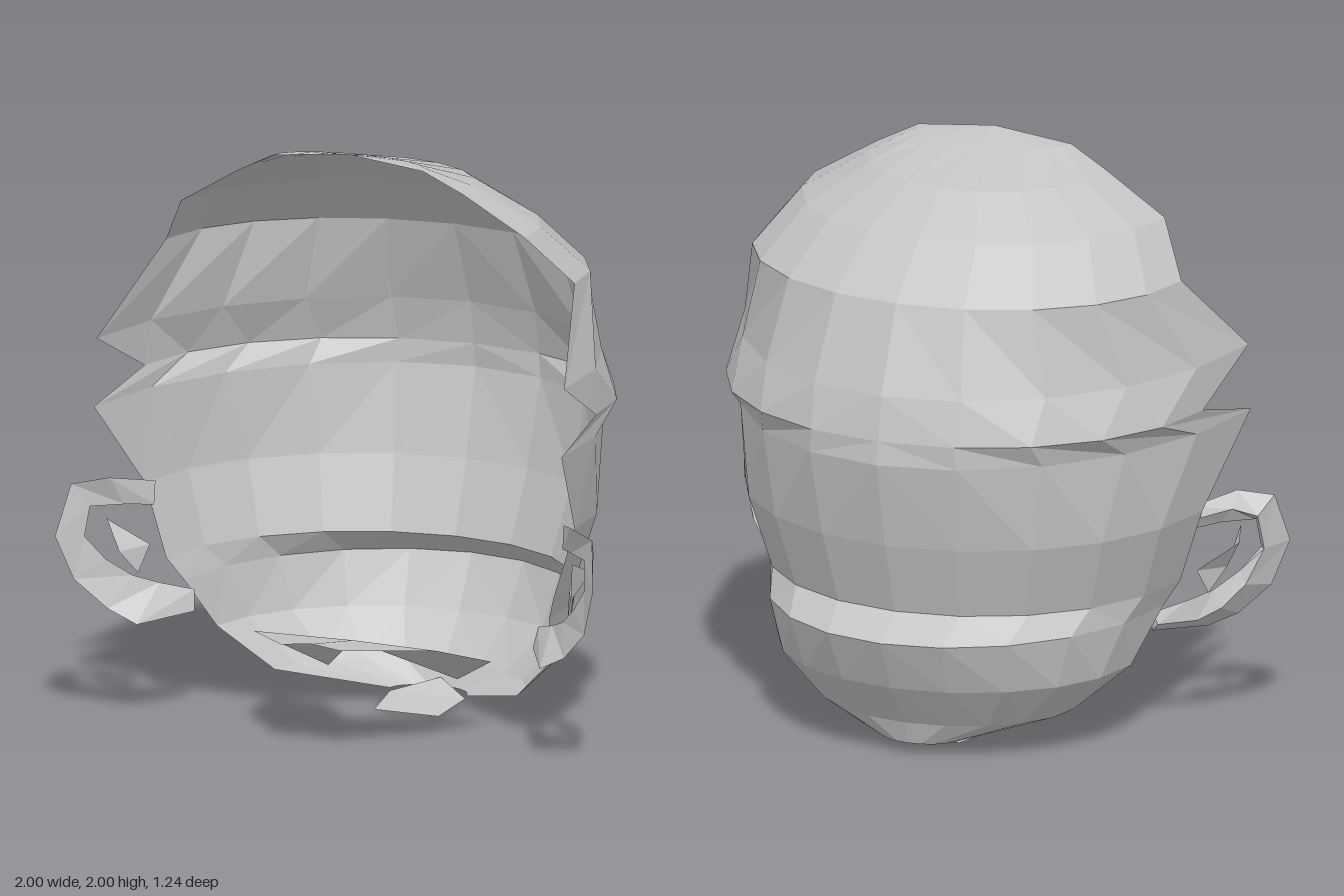
import * as THREE from 'three';

const grey = new THREE.MeshStandardMaterial({ color: 0xc4c4c4, flatShading: true, side: THREE.DoubleSide });
grey.name = 'grey';

// Faceted surface from corner points and triangles
function facets(name, points, triangles) {
  const g = new THREE.BufferGeometry();
  g.setAttribute('position', new THREE.Float32BufferAttribute(points.flat(), 3));
  g.setIndex(triangles.flat());
  const flat = g.toNonIndexed();
  flat.computeVertexNormals();
  const mesh = new THREE.Mesh(flat, grey);
  mesh.name = name;
  return mesh;
}

// Skin over a list of equal-length cross-sections
function loft(name, rows) {
  const n = rows[0].length;
  const tris = [];
  for (let r = 0; r < rows.length - 1; r++) {
    for (let c = 0; c < n - 1; c++) {
      const a = r * n + c, b = a + 1, d = a + n, e = d + 1;
      // diagonals mirror about the middle
      if (c < (n - 1) / 2) tris.push([a, d, b], [b, d, e]);
      else tris.push([a, d, e], [a, e, b]);
    }
  }
  return facets(name, rows.flat(), tris);
}

const mirror = (points, side) => points.map(([x, y, z]) => [x * side, y, z]);

// Half-ellipse around the back of the head
function backArc([y, halfWidth, edgeZ, backZ]) {
  const row = [];
  const steps = 5;
  for (let i = -steps; i <= steps; i++) {
    const t = (i / steps) * Math.PI / 2;
    row.push([halfWidth * Math.sin(t), y, edgeZ - (edgeZ - backZ) * Math.cos(t)]);
  }
  return row;
}

export function createModel() {
  const model = new THREE.Group();
  model.name = 'headShell';

  // Open shell: height, half width, front edge z, back z (zigzag front edge)
  const upper = [
    [1.97, 0.28, 0.34, 0.2],
    [1.9, 0.42, 0.32, -0.1],
    [1.77, 0.64, 0.3, -0.28],
    [1.6, 0.76, 0.17, -0.46],
    [1.31, 0.87, 0.47, -0.58],
    [1.16, 0.84, 0.17, -0.61],
    [1.08, 0.87, 0.49, -0.62],
    [0.78, 0.8, 0.25, -0.55],
    [0.53, 0.72, 0.25, -0.47],
  ].map(backArc);
  // crown ridge closing the top
  upper.unshift(upper[0].map(() => [0, 2, 0.34]));
  model.add(loft('hairShell', upper));

  // Nape: steps out behind under the hair, then curves in to the neck
  const lower = [
    [0.53, 0.72, 0.25, -0.47],
    [0.45, 0.68, 0.2, -0.59],
    [0.27, 0.62, 0.07, -0.5],
    [0.12, 0.45, -0.02, -0.39],
    [0.04, 0.14, -0.26, -0.36],
  ].map(backArc);
  model.add(loft('nape', lower));

  // Small flap under the neck
  model.add(facets('neckFlap',
    [[-0.14, 0.03, -0.26], [0.14, 0.03, -0.26], [0.12, 0, -0.1], [-0.12, 0, -0.1], [0, 0.07, -0.36]],
    [[0, 3, 2], [0, 2, 1], [4, 0, 1]]));

  // Curved plate projecting at the chin
  const plateHalf = [[0, 0.38, 0.61], [0.11, 0.37, 0.62], [0.34, 0.34, 0.36],
    [0.4, 0.25, 0.07], [0.24, 0.16, 0], [0, 0.33, 0.3]];
  const plateTris = [[0, 1, 5], [1, 2, 5], [2, 4, 5], [2, 3, 4]];
  // C-shaped ear rim: outer edge, inner edge and back fold
  const outer = [[0.76, 0.79, 0.25], [0.86, 0.82, 0.4], [0.97, 0.8, 0.46], [1, 0.63, 0.52],
    [0.95, 0.48, 0.48], [0.85, 0.38, 0.43], [0.75, 0.33, 0.41], [0.63, 0.35, 0.22]];
  const inner = [[0.76, 0.71, 0.26], [0.83, 0.72, 0.34], [0.92, 0.72, 0.42], [0.93, 0.62, 0.44],
    [0.87, 0.54, 0.4], [0.8, 0.48, 0.34], [0.73, 0.45, 0.28], [0.64, 0.42, 0.2]];
  const fold = [[0.78, 0.75, 0.25], [0.87, 0.77, 0.34], [0.94, 0.74, 0.39], [0.95, 0.62, 0.42],
    [0.9, 0.5, 0.38], [0.83, 0.42, 0.34], [0.76, 0.38, 0.3], [0.66, 0.38, 0.2]];
  // Folded flap inside the ear
  const flap = [[0.87, 0.7, 0.41], [0.9, 0.66, 0.33], [0.84, 0.56, 0.36], [0.8, 0.48, 0.3], [0.78, 0.57, 0.25]];

  for (const side of [1, -1]) {
    const label = side > 0 ? 'left' : 'right';
    const plate = mirror(plateHalf, side);
    model.add(facets(label + 'ChinPlate', plate, plateTris));
    const ear = new THREE.Group();
    ear.name = label + 'Ear';
    const sections = [outer, inner, fold, outer].map((p) => mirror(p, side));
    ear.add(loft('earRim', sections));
    ear.add(facets('earFlap', mirror(flap, side), [[0, 1, 2], [1, 4, 2], [2, 4, 3]]));
    model.add(ear);
  }
  return model;
}
